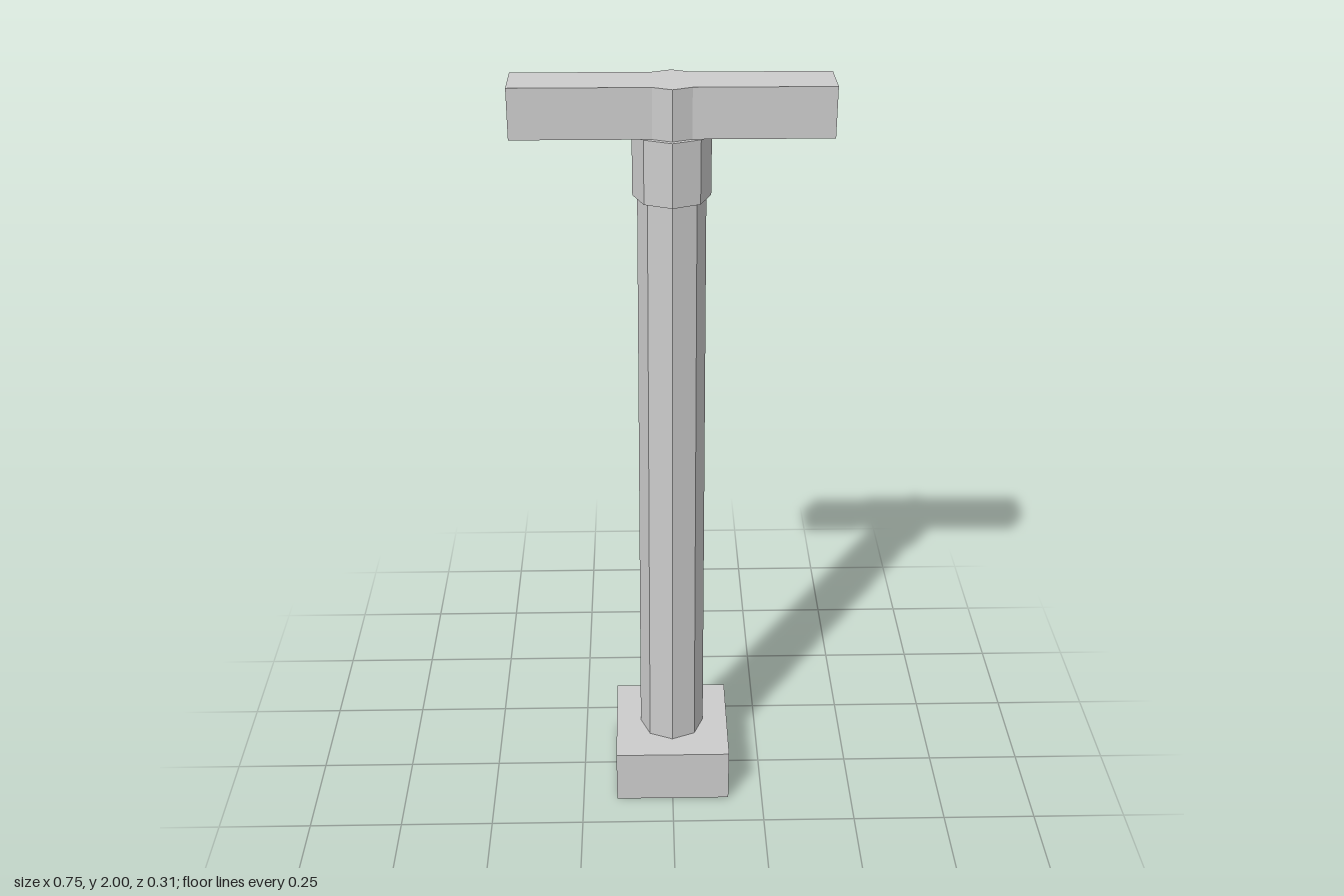
import * as THREE from 'three';

export function createModel() {
  const model = new THREE.Group();
  const stone = new THREE.MeshStandardMaterial({ color: 0xcccccc, flatShading: true, side: THREE.DoubleSide });
  stone.name = 'pale grey';

  const add = (name, geometry, y) => {
    const mesh = new THREE.Mesh(geometry, stone);
    mesh.name = name;
    mesh.position.y = y;
    model.add(mesh);
  };
  // Eight-sided prism between two heights, with corners on the axes
  const octagon = (name, rTop, rBottom, y0, y1, open) =>
    add(name, new THREE.CylinderGeometry(rTop, rBottom, y1 - y0, 8, 1, open), (y0 + y1) / 2);

  // Square plinth, hollow and open underneath
  const baseHeight = 0.156;
  const plinth = new THREE.BoxGeometry(0.312, baseHeight, 0.312);
  const faces = Array.from(plinth.index.array);
  faces.splice(18, 6); // drop the bottom face
  plinth.setIndex(faces);
  plinth.clearGroups();
  add('base', plinth, baseHeight / 2);

  // Slightly tapering shaft and its collar
  octagon('shaft', 0.081, 0.088, baseHeight, 1.88, true);
  octagon('collar', 0.093, 0.093, 1.725, 1.88, false);

  // Crossbar with the shaft's corners showing through front and back
  const w = 0.373, d = 0.062, r = 0.081;
  const bump = (r - d) / Math.tan(Math.PI / 8);
  const plan = new THREE.Shape([
    [-w, -d], [-bump, -d], [0, -r], [bump, -d], [w, -d],
    [w, d], [bump, d], [0, r], [-bump, d], [-w, d],
  ].map(([x, z]) => new THREE.Vector2(x, z)));
  const bar = new THREE.ExtrudeGeometry(plan, { depth: 0.12, bevelEnabled: false });
  bar.rotateX(-Math.PI / 2);
  add('crossbar', bar, 1.88);

  return model;
}
